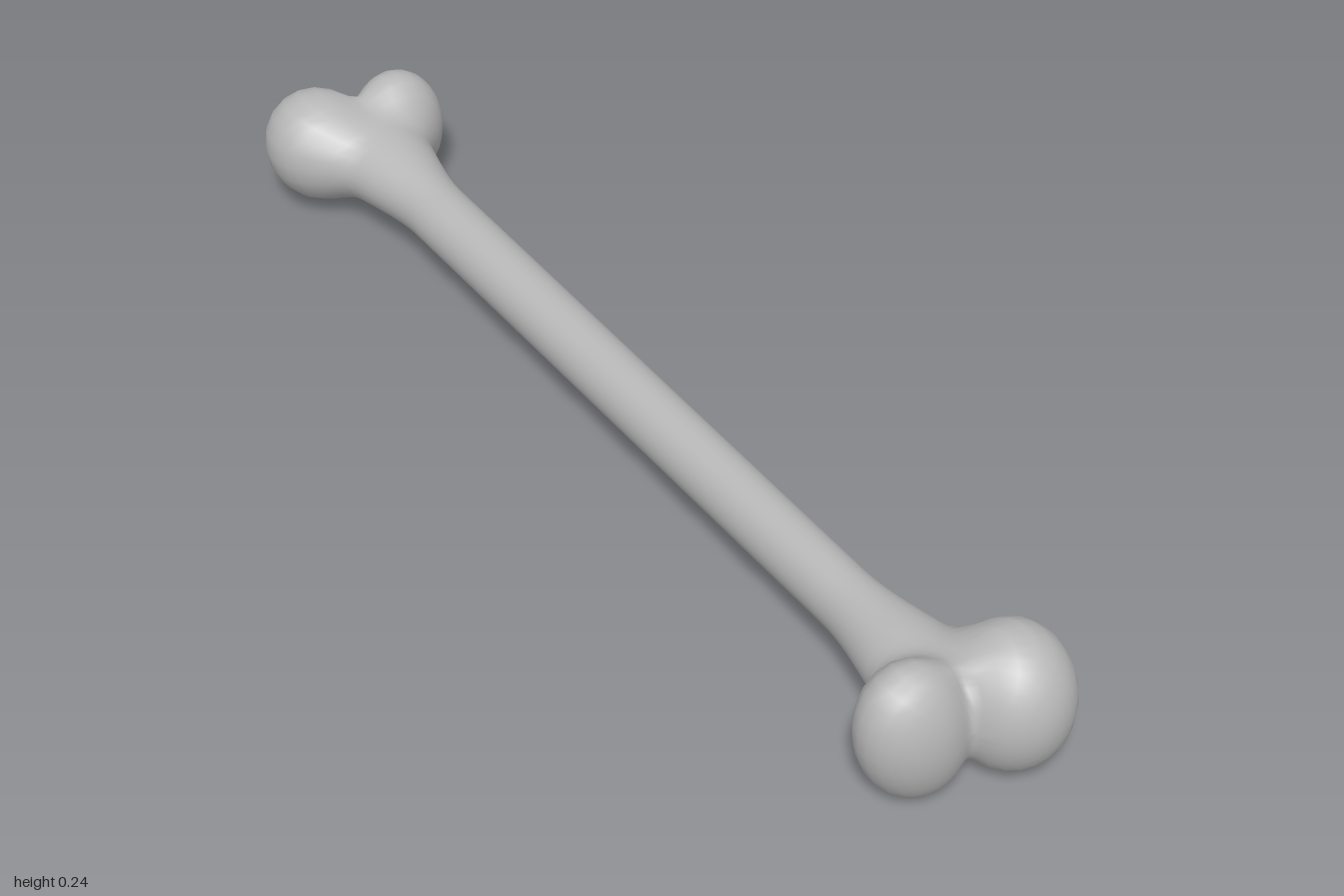
import * as THREE from 'three';
import { mergeVertices } from 'three/addons/utils/BufferGeometryUtils.js';

// Rounded knobs at the ends: centre, radii, lean about z
const knobs = [
  { c: [0.087, 0.123, 0.895], r: [0.094, 0.119, 0.099], lean: 0 },
  { c: [-0.07, 0.121, 0.880], r: [0.088, 0.122, 0.070], lean: 0.25 },
  { c: [-0.09, 0.120, -0.900], r: [0.094, 0.100, 0.100], lean: 0.3 },
  { c: [0.057, 0.116, -0.885], r: [0.084, 0.108, 0.075], lean: 0 },
];

function smoothMin(a, b, k) {
  const h = Math.max(k - Math.abs(a - b), 0) / k;
  return Math.min(a, b) - h * h * k * 0.25;
}

function knobDistance(x, y, z, { c, r, lean }) {
  const dx = x - c[0], dy = y - c[1], dz = z - c[2];
  const cos = Math.cos(lean), sin = Math.sin(lean);
  const p = [dx * cos + dy * sin, dy * cos - dx * sin, dz];
  const k0 = Math.hypot(p[0] / r[0], p[1] / r[1], p[2] / r[2]);
  const k1 = Math.hypot(p[0] / r[0] ** 2, p[1] / r[1] ** 2, p[2] / r[2] ** 2);
  return k1 < 1e-6 ? -Math.min(...r) : k0 * (k0 - 1) / k1;
}

// Slightly bowed oval shaft, flared towards both ends
function shaftDistance(x, y, z) {
  const flare = THREE.MathUtils.smoothstep(Math.abs(z), 0.6, 0.87);
  const rx = 0.051 - 0.005 * z + 0.04 * flare;
  const ry = 0.053 + 0.02 * flare;
  const k = Math.hypot((x + 0.003 - 0.014 * z) / rx, (y - 0.118 - 0.007 * z) / ry);
  return Math.max((k - 1) * Math.min(rx, ry), Math.abs(z) - 0.88);
}

function boneDistance(x, y, z) {
  const ends = knobs.map((k) => knobDistance(x, y, z, k));
  const d = smoothMin(smoothMin(ends[0], ends[1], 0.02), smoothMin(ends[2], ends[3], 0.02), 0.02);
  return smoothMin(d, shaftDistance(x, y, z), 0.04);
}

function createBoneGeometry() {
  const sides = 36, capSteps = 14;

  // Rings along the bone: fans of tilted rings close both ends
  const rings = [];
  for (let i = 0; i < capSteps; i++) rings.push({ z: -0.86, tilt: -Math.PI / 2 * (1 - i / capSteps) });
  for (let i = 0; i <= 14; i++) rings.push({ z: -0.86 + 0.28 * i / 14, tilt: 0 });
  for (let i = 1; i < 10; i++) rings.push({ z: -0.58 + 1.16 * i / 10, tilt: 0 });
  for (let i = 0; i <= 14; i++) rings.push({ z: 0.58 + 0.28 * i / 14, tilt: 0 });
  for (let i = 1; i <= capSteps; i++) rings.push({ z: 0.86, tilt: Math.PI / 2 * i / capSteps });

  // Push each ring point inwards until it meets the bone surface
  const positions = [], indices = [];
  for (const { z, tilt } of rings) {
    for (let j = 0; j < sides; j++) {
      const a = j / sides * Math.PI * 2;
      const dir = [Math.cos(a) * Math.cos(tilt), Math.sin(a) * Math.cos(tilt), Math.sin(tilt)];
      let r = 0.3;
      for (let n = 0; n < 80; n++) {
        const d = boneDistance(dir[0] * r, 0.12 + dir[1] * r, z + dir[2] * r);
        if (d < 0.0002) break;
        r -= d * 0.7;
      }
      positions.push(dir[0] * r, 0.12 + dir[1] * r, z + dir[2] * r);
    }
  }

  for (let i = 0; i < rings.length - 1; i++) {
    for (let j = 0; j < sides; j++) {
      const a = i * sides + j, b = i * sides + (j + 1) % sides;
      // The first and last rings shrink to a single point
      if (i > 0) indices.push(a, b, a + sides);
      if (i < rings.length - 2) indices.push(b, b + sides, a + sides);
    }
  }

  let geometry = new THREE.BufferGeometry();
  geometry.setAttribute('position', new THREE.Float32BufferAttribute(positions, 3));
  geometry.setIndex(indices);
  geometry = mergeVertices(geometry, 1e-5);
  geometry.computeBoundingBox();
  geometry.translate(0, -geometry.boundingBox.min.y, 0);
  geometry.computeVertexNormals();
  return geometry;
}

export function createModel() {
  const group = new THREE.Group();
  group.name = 'bone';
  const boneGrey = new THREE.MeshStandardMaterial({ color: 0xb8b8b8 });
  boneGrey.name = 'boneGrey';
  const body = new THREE.Mesh(createBoneGeometry(), boneGrey);
  body.name = 'boneBody';
  group.add(body);
  return group;
}
